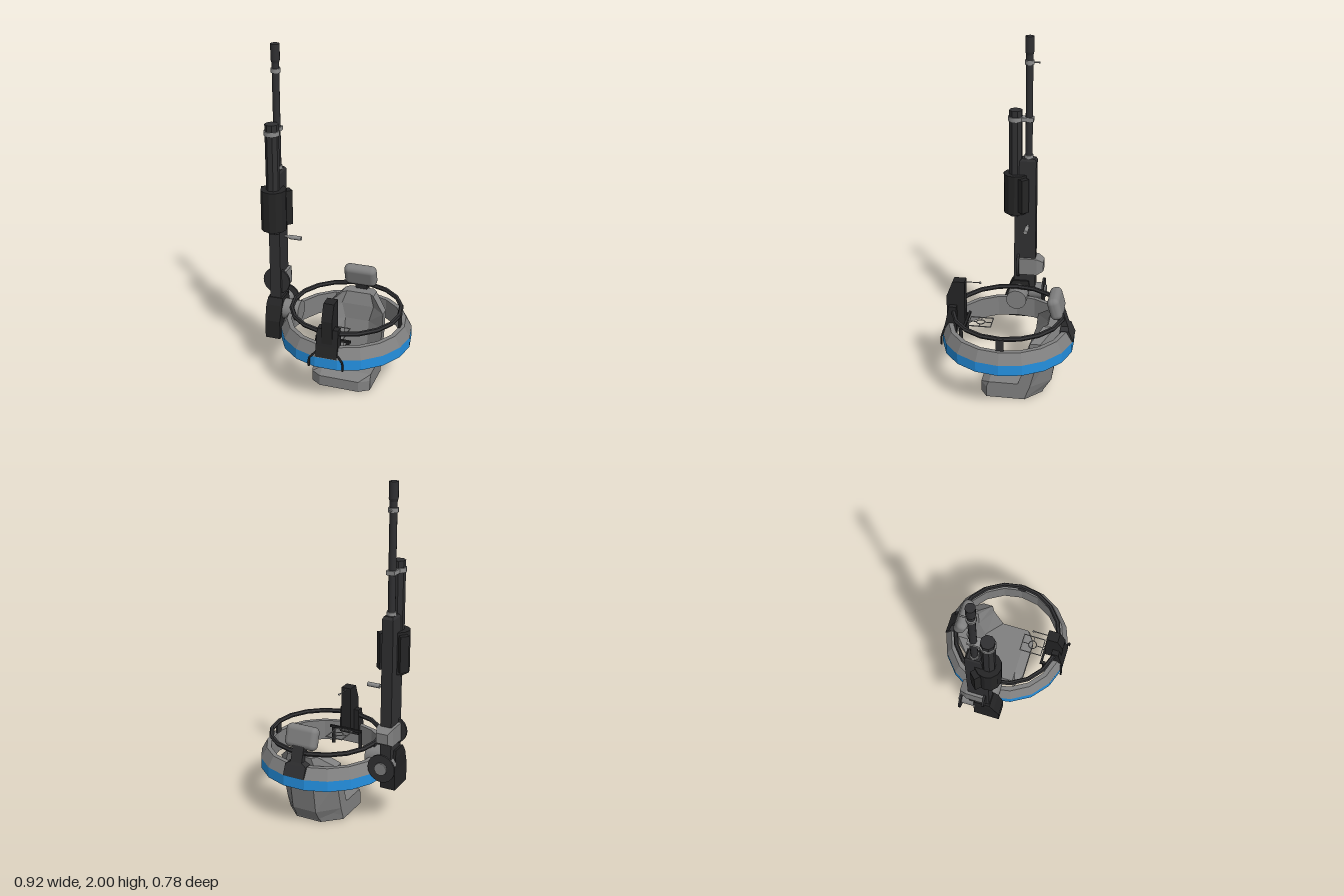
import * as THREE from 'three';
import { RoundedBoxGeometry } from 'three/addons/geometries/RoundedBoxGeometry.js';

const material = (name, color) => {
  const m = new THREE.MeshStandardMaterial({ color });
  m.name = name;
  return m;
};

// Splits shared corners so every facet is shaded flat
function flat(geo) {
  const g = geo.index ? geo.toNonIndexed() : geo;
  g.computeVertexNormals();
  return g;
}

function add(parent, name, geo, mat, pos = [0, 0, 0], rot = [0, 0, 0]) {
  const m = new THREE.Mesh(geo, mat);
  m.name = name;
  m.position.set(...pos);
  m.rotation.set(...rot);
  parent.add(m);
  return m;
}

const box = (w, h, d) => new THREE.BoxGeometry(w, h, d);
const cyl = (r, h, n = 12, r2 = r) => new THREE.CylinderGeometry(r2, r, h, n);

// Skins a stack of horizontal outlines [y, [[x, z], ...]] (front edge first, left to right)
function loft(sections) {
  const out = [];
  const put = (s, i) => out.push(s[1][i][0], s[0], s[1][i][1]);
  const n = sections[0][1].length;
  for (let k = 0; k < sections.length - 1; k++) {
    const a = sections[k], b = sections[k + 1];
    for (let i = 0; i < n; i++) {
      const j = (i + 1) % n;
      put(a, i); put(a, j); put(b, j);
      put(a, i); put(b, j); put(b, i);
    }
  }
  const cap = (s, up) => {
    const pts = s[1].map(([x, z]) => new THREE.Vector2(x, -z));
    for (const [i, j, k] of THREE.ShapeUtils.triangulateShape(pts, [])) {
      for (const v of up ? [i, j, k] : [i, k, j]) put(s, v);
    }
  };
  cap(sections[0], false);
  cap(sections[sections.length - 1], true);
  const g = new THREE.BufferGeometry();
  g.setAttribute('position', new THREE.Float32BufferAttribute(out, 3));
  g.computeVertexNormals();
  return g;
}

// Rectangle outline for loft
const rect = (w, front, back) => [[-w, front], [w, front], [w, back], [-w, back]];

const lathe = (pts) =>
  flat(new THREE.LatheGeometry(pts.map(([r, y]) => new THREE.Vector2(r, y)), 18).rotateY(Math.PI / 18));

export function createModel() {
  const grey = material('grey', 0x808080);
  const dark = material('dark', 0x303032);
  const black = material('black', 0x242425);
  const blue = material('blue', 0x2490e0);
  const metal = material('metal', 0x8c8c8c);

  const model = new THREE.Group();
  model.name = 'turret';
  const H = Math.PI / 2;

  // Ring, seat and sight share one centre line
  const station = new THREE.Group();
  station.name = 'station';
  station.position.x = 0.07;
  model.add(station);

  // Ring: blue outer band, grey sloped top, inner wall and underside
  add(station, 'ringBand', lathe([[0.387, 0.278], [0.387, 0.342]]), blue);
  add(station, 'ringBody', lathe([[0.387, 0.342], [0.352, 0.405], [0.325, 0.405],
    [0.325, 0.278], [0.387, 0.278]]), grey);

  // Hand rail and its posts
  add(station, 'handRail', flat(new THREE.TorusGeometry(0.322, 0.014, 6, 18)), dark, [0, 0.475, 0], [H, 0, 0]);
  for (const s of [-1, 1]) {
    add(station, 'railPost', box(0.012, 0.08, 0.045), dark, [s * 0.326, 0.44, 0]);
  }

  // Seat pan
  const pan = (front, corner, midW, back, rear) => [[-midW, front], [midW, front], [0.18, corner],
    [0.18, back], [0.08, rear], [-0.08, rear], [-0.18, back], [-0.18, corner]];
  add(station, 'seatPan', loft([
    [0, pan(0.145, 0.105, 0.12, -0.12, -0.215)],
    [0.065, pan(0.145, 0.105, 0.12, -0.14, -0.235)],
    [0.1, pan(0.09, 0.09, 0.12, -0.15, -0.24)],
  ]), grey);

  // Bucket backrest
  const back = (w, mw, sideIn, midIn, sideOut, midOut) => [[-w, sideIn], [-mw, midIn], [mw, midIn],
    [w, sideIn], [w, sideOut], [mw, midOut], [-mw, midOut], [-w, sideOut]];
  add(station, 'backrest', loft([
    [0.005, back(0.18, 0.075, -0.07, -0.15, -0.12, -0.215)],
    [0.085, back(0.18, 0.075, -0.075, -0.165, -0.15, -0.265)],
    [0.28, back(0.18, 0.075, -0.14, -0.21, -0.2, -0.295)],
    [0.375, back(0.18, 0.1, -0.15, -0.22, -0.21, -0.305)],
    [0.45, back(0.1, 0.075, -0.215, -0.24, -0.285, -0.315)],
  ]), grey);

  // Headrest on its bracket
  add(station, 'headrest', new RoundedBoxGeometry(0.2, 0.135, 0.072, 3, 0.032), grey, [0, 0.553, -0.278], [0.28, 0, 0]);
  add(station, 'headrestBracket', loft([
    [0.345, rect(0.066, -0.33, -0.387)],
    [0.408, rect(0.066, -0.3, -0.36)],
    [0.425, rect(0.036, -0.3, -0.352)],
    [0.57, rect(0.036, -0.265, -0.305)],
  ]), dark);

  // Sight column on the front of the ring
  const sight = new THREE.Group();
  sight.name = 'sightMount';
  station.add(sight);
  add(sight, 'sightColumn', loft([
    [0.38, rect(0.031, 0.362, 0.255)],
    [0.565, rect(0.031, 0.362, 0.255)],
    [0.66, rect(0.031, 0.325, 0.255)],
  ]), black);
  add(sight, 'columnCollar', loft([
    [0.345, rect(0.064, 0.383, 0.3)],
    [0.41, rect(0.064, 0.365, 0.3)],
    [0.51, rect(0.062, 0.345, 0.3)],
  ]), black);
  // Arched clamp over the blue band
  const arch = [[-0.1, 0.28], [-0.1, 0.33], [-0.068, 0.365], [0.068, 0.365], [0.1, 0.33], [0.1, 0.28]];
  const archPath = new THREE.CurvePath();
  const archPts = arch.map(([x, y]) => new THREE.Vector3(x, y, y > 0.34 ? 0.372 : 0.383));
  for (let i = 0; i < archPts.length - 1; i++) archPath.add(new THREE.LineCurve3(archPts[i], archPts[i + 1]));
  add(sight, 'clampArch', new THREE.TubeGeometry(archPath, 24, 0.006, 6), black);
  // Control bar and hanging grips
  add(sight, 'controlBar', box(0.21, 0.014, 0.014), black, [0, 0.395, 0.25]);
  for (const s of [-1, 1]) {
    add(sight, 'controlGrip', cyl(0.011, 0.115, 8), black, [s * 0.092, 0.335, 0.268]);
  }
  // Bead on a stem
  add(sight, 'beadStem', cyl(0.003, 0.09, 6), metal, [0, 0.65, 0.21], [H, 0, 0]);
  add(sight, 'bead', new THREE.SphereGeometry(0.007, 8, 6), metal, [0, 0.65, 0.167]);
  // Flat reticle frame with ring and spokes
  const reticle = new THREE.Group();
  reticle.name = 'reticle';
  reticle.position.set(0, 0.392, 0.167);
  sight.add(reticle);
  for (const s of [-1, 1]) {
    add(reticle, 'frameSide', box(0.005, 0.005, 0.138), metal, [s * 0.053, 0, 0]);
    add(reticle, 'frameEnd', box(0.11, 0.005, 0.005), metal, [0, 0, s * 0.067]);
    add(reticle, 'spokeAcross', box(0.029, 0.004, 0.004), metal, [s * 0.039, 0, 0]);
    add(reticle, 'spokeAlong', box(0.004, 0.004, 0.042), metal, [0, 0, s * 0.046]);
    add(reticle, 'reticleStem', box(0.005, 0.005, 0.03), metal, [s * 0.01, 0, 0.08]);
  }
  add(reticle, 'reticleRing', new THREE.TorusGeometry(0.025, 0.003, 6, 16), metal, [0, 0, 0], [H, 0, 0]);

  // Upright gun beside the ring
  const gun = new THREE.Group();
  gun.name = 'gun';
  gun.position.x = -0.365;
  model.add(gun);

  // Receiver
  add(gun, 'receiver', box(0.066, 0.55, 0.13), dark, [0, 0.685, -0.035]);
  add(gun, 'upperReceiver', loft([
    [0.95, rect(0.033, 0.01, -0.1)],
    [1.26, rect(0.033, 0.0, -0.1)],
    [1.275, rect(0.026, -0.015, -0.09)],
  ]), dark);
  add(gun, 'breechBox', loft([
    [0.235, rect(0.046, 0.093, -0.068)],
    [0.35, rect(0.046, 0.093, -0.068)],
    [0.44, rect(0.05, 0.06, -0.068)],
    [0.48, rect(0.046, 0.035, -0.06)],
  ]), black);

  // Barrel, muzzle and collars
  add(gun, 'barrel', cyl(0.021, 0.65, 12), dark, [0, 1.575, -0.052]);
  add(gun, 'muzzle', cyl(0.026, 0.09, 12), dark, [0, 1.955, -0.052]);
  add(gun, 'muzzleTaper', cyl(0.02, 0.02, 12, 0.026), dark, [0, 1.9, -0.052]);
  add(gun, 'barrelBaseCollar', cyl(0.027, 0.025, 12), metal, [0, 1.282, -0.052]);
  add(gun, 'frontCollar', cyl(0.028, 0.024, 12), metal, [0, 1.85, -0.052]);
  add(gun, 'frontBead', cyl(0.005, 0.045, 6), metal, [0, 1.85, -0.09], [H, 0, 0]);

  // Lower tube with the clamp joining both barrels
  add(gun, 'lowerTube', flat(cyl(0.04, 0.66, 8).rotateY(Math.PI / 8)), dark, [0, 1.235, 0.027]);
  add(gun, 'tubeClamp', cyl(0.046, 0.026, 12), metal, [0, 1.513, 0.027]);
  add(gun, 'clampBridge', box(0.05, 0.024, 0.09), metal, [0, 1.513, -0.035]);

  // Drum with two angled side blocks
  add(gun, 'drum', flat(cyl(0.075, 0.245, 12)), black, [0, 1.052, 0.024]);
  for (const s of [-1, 1]) {
    add(gun, 'drumBlock', box(0.055, 0.21, 0.05), black, [s * 0.06, 1.055, -0.024], [0, s * Math.PI / 4, 0]);
  }

  // Charging handle
  add(gun, 'chargingStem', cyl(0.007, 0.06, 8), metal, [0.05, 0.852, -0.052], [0, 0, H]);
  add(gun, 'chargingKnob', cyl(0.013, 0.075, 10), metal, [0.1, 0.85, -0.052], [0, 0, H]);

  // Upper pivot: dark disc with a tapered grey housing behind it
  add(gun, 'upperDisc', cyl(0.083, 0.014, 20), dark, [0, 0.58, 0.004], [H, 0, 0]);
  const taper = loft([
    [0, rect(0.05, 0.053, -0.053)],
    [0.11, rect(0.05, 0.053, -0.053)],
    [0.15, rect(0.035, 0.03, -0.03)],
  ]);
  add(gun, 'upperHousing', taper, grey, [0, 0.58, 0], [-H, 0, 0]);

  // Lower pivot: rear disc, hub and arm to the ring
  add(gun, 'lowerDisc', cyl(0.083, 0.012, 20), dark, [0, 0.4, -0.15], [H, 0, 0]);
  add(gun, 'lowerHub', cyl(0.037, 0.1, 14), grey, [0, 0.4, -0.117], [H, 0, 0]);
  add(gun, 'lowerHousing', cyl(0.05, 0.09, 14), grey, [0, 0.4, -0.103], [H, 0, 0]);
  add(gun, 'mountArm', cyl(0.062, 0.12, 14), grey, [0.09, 0.4, 0], [0, 0, H]);

  return model;
}
